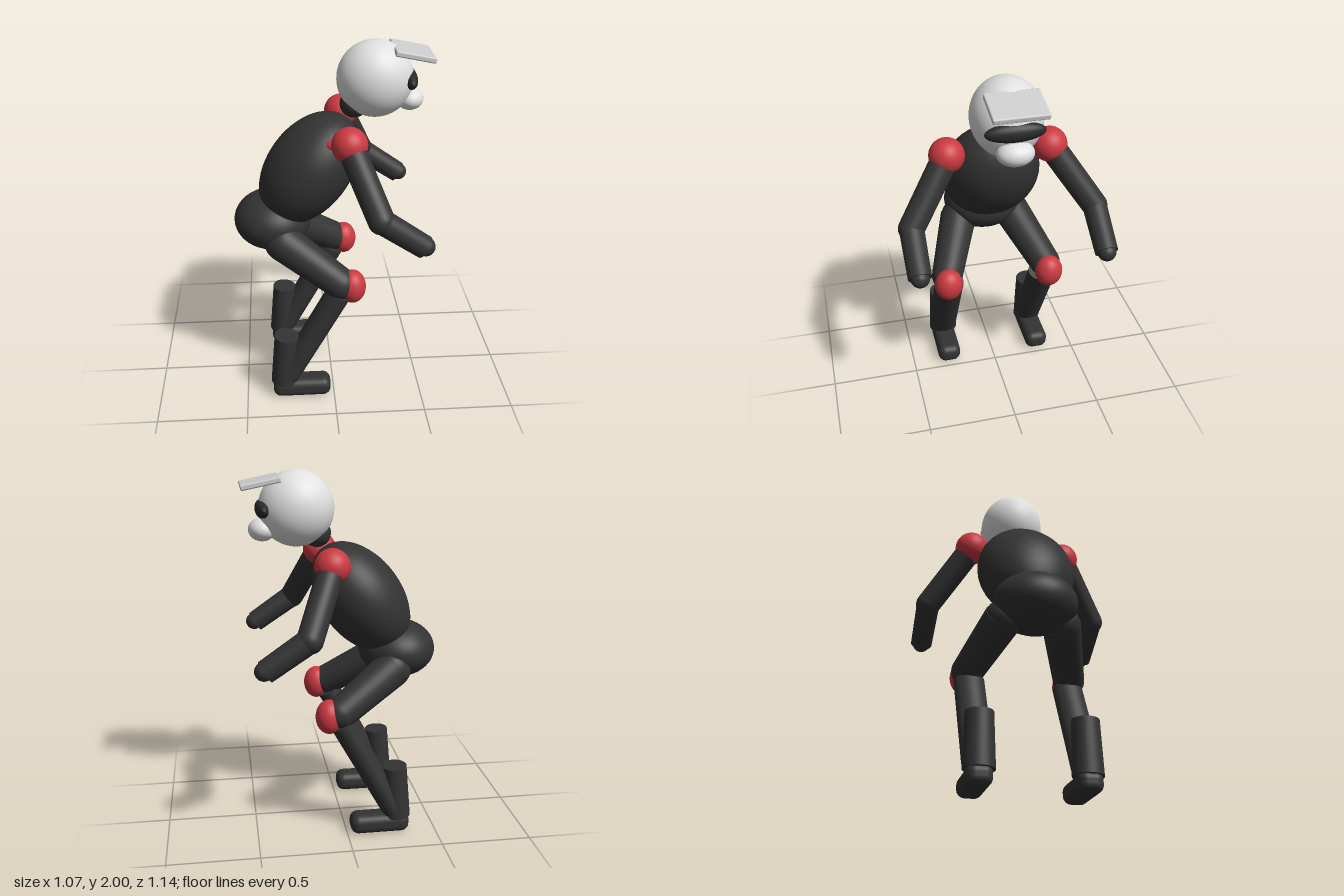
import * as THREE from 'three';
import { RoundedBoxGeometry } from 'three/addons/geometries/RoundedBoxGeometry.js';

const material = (name, color) => {
  const m = new THREE.MeshStandardMaterial({ color });
  m.name = name;
  return m;
};

export function createModel() {
  const model = new THREE.Group();
  model.name = 'crouchingFigure';
  const dark = material('charcoal suit', 0x333333);
  const lens = material('dark lens', 0x2a2a2a);
  const red = material('red pads', 0xcb3a42);
  const white = material('white helmet', 0xe0e0e0);
  const grey = material('grey visor', 0xcfcfcf);

  const add = (name, geometry, mat, pos, parent = model) => {
    const mesh = new THREE.Mesh(geometry, mat);
    mesh.name = name;
    mesh.position.set(...pos);
    parent.add(mesh);
    return mesh;
  };

  const ellipsoid = (name, mat, pos, radii, parent) => {
    const mesh = add(name, new THREE.SphereGeometry(1, 40, 28), mat, pos, parent);
    mesh.scale.set(...radii);
    return mesh;
  };

  // Tapered cylinder from a to b; depth stretches its cross-section along z
  const limb = (name, mat, a, b, ra, rb, parent, depth = 1) => {
    const start = new THREE.Vector3(...a), end = new THREE.Vector3(...b);
    const axis = end.clone().sub(start);
    const geometry = new THREE.CylinderGeometry(rb, ra, axis.length(), 32);
    const mesh = add(name, geometry, mat, start.add(end).multiplyScalar(0.5).toArray(), parent);
    mesh.quaternion.setFromUnitVectors(new THREE.Vector3(0, 1, 0), axis.normalize());
    mesh.scale.z = depth;
    return mesh;
  };

  // Body
  ellipsoid('torso', dark, [-0.12, 1.295, 0], [0.228, 0.35, 0.273]).rotation.z = -0.637;
  ellipsoid('hips', dark, [-0.325, 0.997, 0], [0.215, 0.162, 0.23]);
  ellipsoid('neckBase', dark, [0.125, 1.66, 0], [0.077, 0.077, 0.077]);
  limb('neck', dark, [0.125, 1.66, 0], [0.2, 1.75, 0], 0.077, 0.077);

  // Head
  ellipsoid('head', white, [0.235, 1.795, 0], [0.205, 0.205, 0.185]);
  ellipsoid('goggles', lens, [0.415, 1.795, 0], [0.042, 0.05, 0.153]);
  ellipsoid('muzzle', white, [0.42, 1.685, 0], [0.075, 0.063, 0.095]);
  const visor = new RoundedBoxGeometry(0.215, 0.03, 0.276, 3, 0.008);
  add('visor', visor, grey, [0.428, 1.937, 0]).rotation.z = -0.2;

  // Limbs, one set on each side
  for (const s of [1, -1]) {
    const side = s > 0 ? 'near' : 'far';

    const arm = new THREE.Group();
    arm.name = side + 'Arm';
    model.add(arm);
    const shoulder = [0.078, 1.527, 0.277 * s];
    const elbow = [0.222, 1.2, 0.5 * s];
    const wrist = [0.45, 1.045, 0.5 * s];
    ellipsoid('shoulderPad', red, shoulder, [0.095, 0.095, 0.095], arm);
    ellipsoid('shoulderPatch', red, [0, 1.495, 0.192 * s], [0.04, 0.035, 0.028], arm);
    limb('upperArm', dark, shoulder, elbow, 0.072, 0.07, arm);
    ellipsoid('elbow', dark, elbow, [0.07, 0.07, 0.07], arm);
    limb('forearm', dark, elbow, wrist, 0.066, 0.062, arm);
    ellipsoid('hand', dark, [0.455, 1.048, 0.5 * s], [0.05, 0.05, 0.05], arm);

    const leg = new THREE.Group();
    leg.name = side + 'Leg';
    model.add(leg);
    const hip = [-0.27, 0.92, 0.16 * s];
    const knee = [0.035, 0.725, 0.29 * s];
    ellipsoid('hipJoint', dark, hip, [0.105, 0.105, 0.1], leg);
    limb('thigh', dark, hip, knee, 0.105, 0.088, leg);
    ellipsoid('kneeJoint', dark, knee, [0.088, 0.088, 0.088], leg);
    ellipsoid('kneePad', red, [0.1, 0.708, 0.295 * s], [0.074, 0.095, 0.08], leg);
    limb('shin', dark, [0.03, 0.665, 0.28 * s], [-0.265, 0.13, 0.28 * s], 0.068, 0.066, leg, 1.24);
    limb('calfCuff', dark, [-0.285, 0.09, 0.278 * s], [-0.268, 0.39, 0.278 * s], 0.076, 0.068, leg, 1.1);
    const foot = new RoundedBoxGeometry(0.33, 0.11, 0.135, 5, 0.045);
    add('foot', foot, dark, [-0.185, 0.055, 0.28 * s], leg);
  }

  return model;
}
